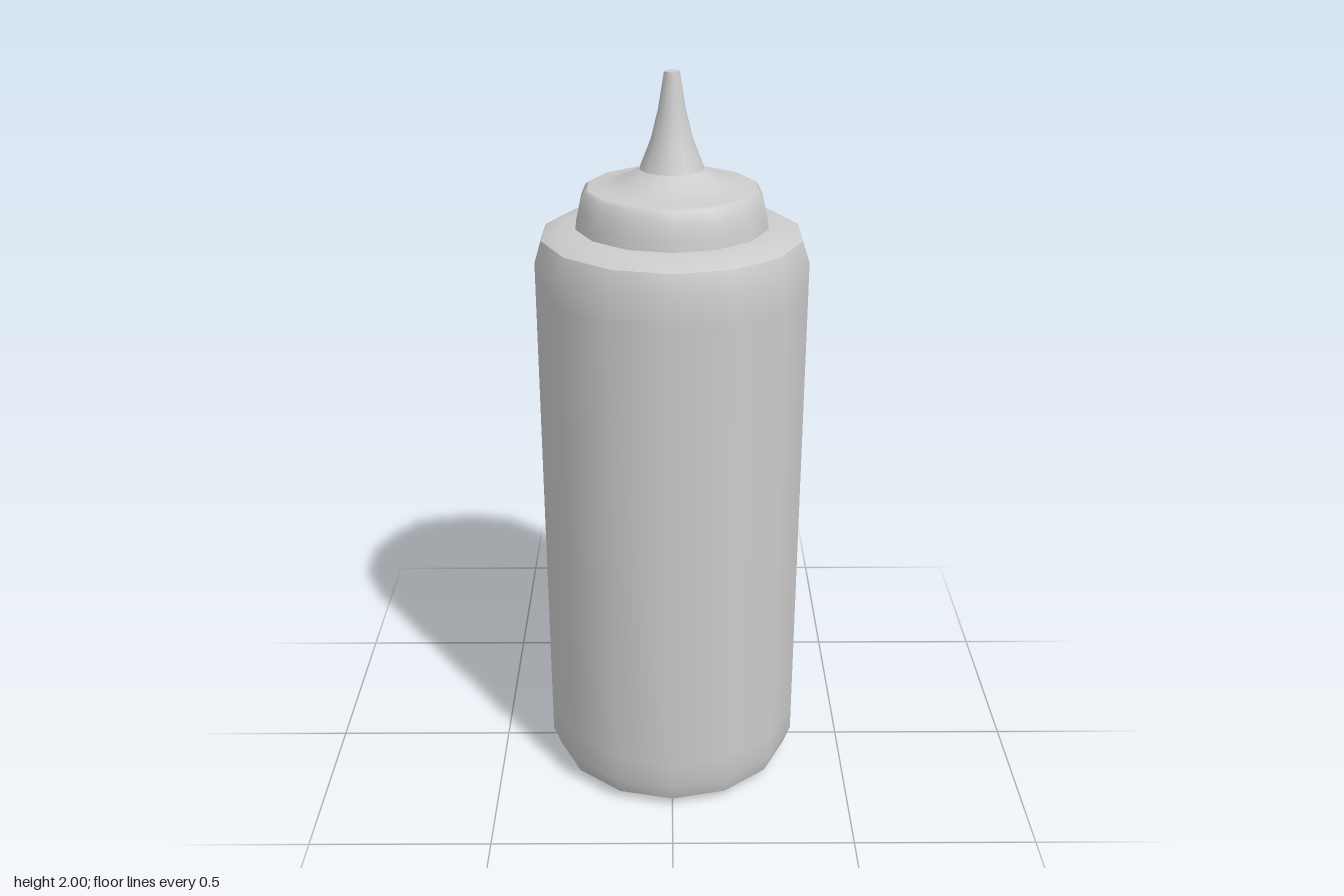
import * as THREE from 'three';

const SIDES = 14;
const material = new THREE.MeshStandardMaterial({ color: 0xcccccc });

// Smooth ring of revolution; separate sections keep the edges between them sharp.
function section(name, profile) {
  const points = profile.map(([r, y]) => new THREE.Vector2(r, y));
  const mesh = new THREE.Mesh(new THREE.LatheGeometry(points, SIDES), material);
  mesh.name = name;
  return mesh;
}

function part(name, sections) {
  const group = new THREE.Group();
  group.name = name;
  for (const [label, profile] of Object.entries(sections)) group.add(section(label, profile));
  return group;
}

export function createModel() {
  const model = new THREE.Group();
  model.name = 'squeezeBottle';

  // Bottle with bevelled foot and shoulder
  model.add(part('bottle', {
    base: [[0, 0.01], [0.24, 0.005], [0.3, 0], [0.343, 0.026]],
    wall: [[0.343, 0.026], [0.362, 0.08], [0.362, 0.16], [0.362, 1.45], [0.362, 1.53], [0.343, 1.587]],
    shoulder: [[0.343, 1.587], [0.295, 1.61], [0.235, 1.612]],
  }));

  // Screw cap with a slight dome rising to the nozzle
  model.add(part('cap', {
    capRim: [[0.254, 1.608], [0.25, 1.64], [0.242, 1.675], [0.23, 1.703], [0.22, 1.71]],
    capTop: [[0.22, 1.71], [0.175, 1.715], [0.133, 1.727], [0.084, 1.757]],
  }));

  // Tapered nozzle with a flat tip
  model.add(part('nozzle', {
    spout: [[0.084, 1.757], [0.055, 1.83], [0.036, 1.905], [0.02, 2]],
    tip: [[0.02, 2], [0, 2]],
  }));

  return model;
}
